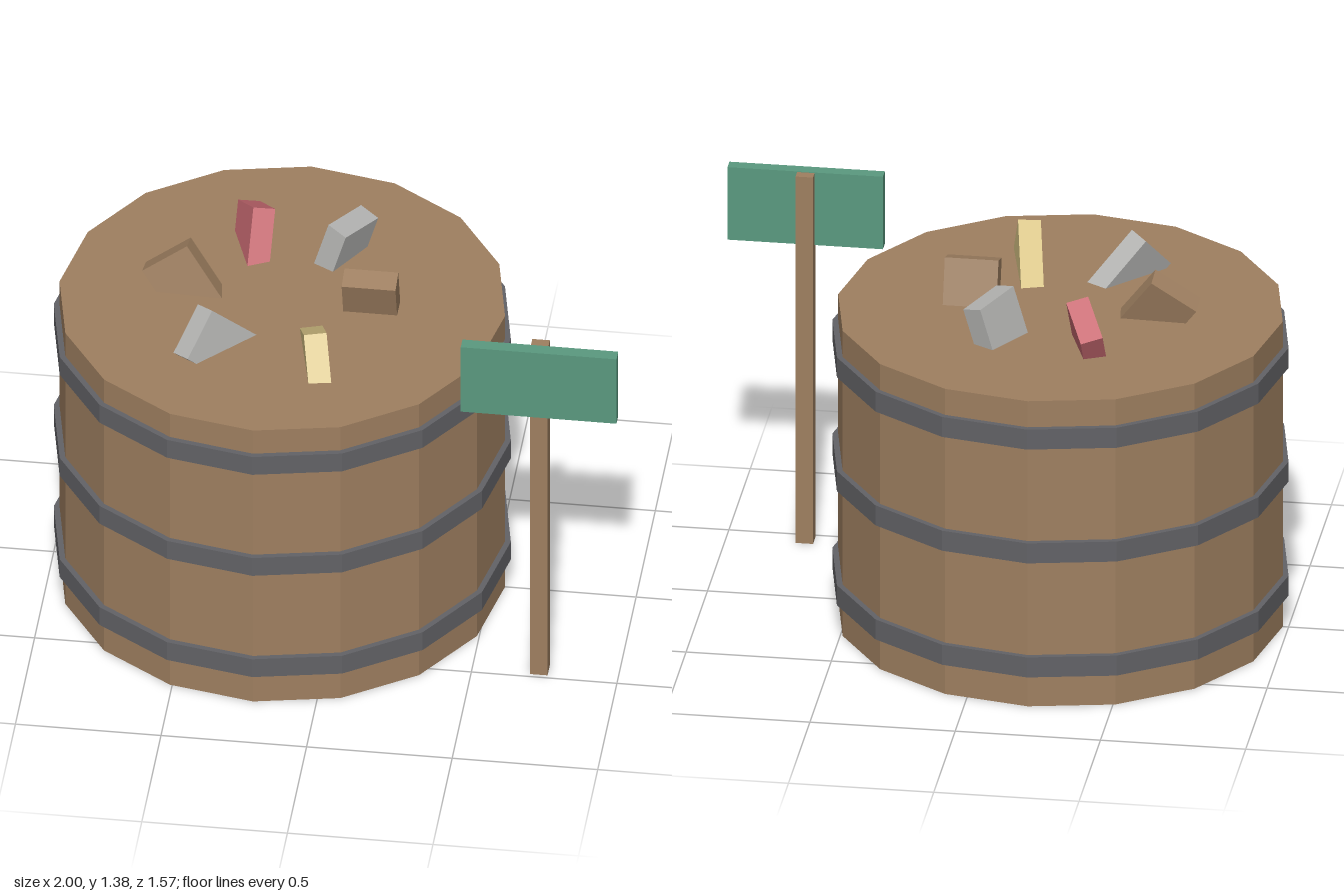
import * as THREE from 'three';

const paint = (name, color) => {
  const m = new THREE.MeshStandardMaterial({ color, flatShading: true });
  m.name = name;
  return m;
};

export function createModel() {
  const model = new THREE.Group();
  model.name = 'barrelWithSign';
  const wood = paint('wood', 0x9e7f60);
  const iron = paint('iron', 0x626266);
  const green = paint('signGreen', 0x5a997f);
  const grey = paint('stoneGrey', 0xb4b4b2);
  const red = paint('red', 0xc86a72);
  const yellow = paint('yellow', 0xd6c284);

  const add = (name, geometry, material, x, y, z, parent = model) => {
    const mesh = new THREE.Mesh(geometry, material);
    mesh.name = name;
    mesh.position.set(x, y, z);
    parent.add(mesh);
    return mesh;
  };

  // Sixteen-sided barrel with three iron hoops
  const barrelX = -0.215;
  add('barrelBody', new THREE.CylinderGeometry(0.765, 0.765, 1.145, 16), wood, barrelX, 0.5725, 0);
  for (const y of [0.155, 0.583, 1.01]) {
    add('hoop', new THREE.CylinderGeometry(0.785, 0.785, 0.075, 16), iron, barrelX, y, 0);
  }

  // Sign on its post
  add('signPost', new THREE.BoxGeometry(0.06, 1.375, 0.057), wood, 0.73, 0.6875, 0.457);
  add('signBoard', new THREE.BoxGeometry(0.535, 0.272, 0.045), green, 0.7325, 1.241, 0.488);

  // Tilted blocks poking out of the lid: a corner, two edge directions and
  // the edge lengths; the third edge runs down along their cross product
  const W = 0.185, T = 0.078, L = 0.3;
  const blocks = [
    [wood, [0, 1.302, 0.012], [1, 0, 0], [0, -0.295, 0.955], [W, T, L]],
    [yellow, [-0.09, 1.287, 0.39], [-0.045, -0.145, -0.235], [0.07, 0.005, -0.014], [L, T, W]],
    [grey, [-0.47, 1.29, 0.265], [0.14, -0.162, -0.1], [0.05, 0.017, 0.05], [L, T, W]],
    [wood, [-0.545, 1.32, -0.02], [-0.16, -0.11, 0.02], [0, -0.02, -0.075], [W, T, L]],
    [red, [-0.35, 1.32, -0.27], [-0.07, -0.08, -0.145], [0.07, -0.02, -0.03], [W, T, L]],
    [grey, [-0.02, 1.295, -0.172], [-0.065, 0.02, -0.04], [0.095, -0.025, -0.155], [T, W, L]],
  ];
  const debris = new THREE.Group();
  debris.name = 'debris';
  model.add(debris);
  for (const [material, corner, u, v, size] of blocks) {
    const a = new THREE.Vector3(...u).normalize();
    const b = new THREE.Vector3(...v);
    const c = new THREE.Vector3().crossVectors(a, b).normalize();
    b.crossVectors(c, a);
    const geometry = new THREE.BoxGeometry(...size).translate(...size.map((s) => s / 2));
    const mesh = add('debrisBlock', geometry, material, ...corner, debris);
    mesh.quaternion.setFromRotationMatrix(new THREE.Matrix4().makeBasis(a, b, c));
  }
  return model;
}
